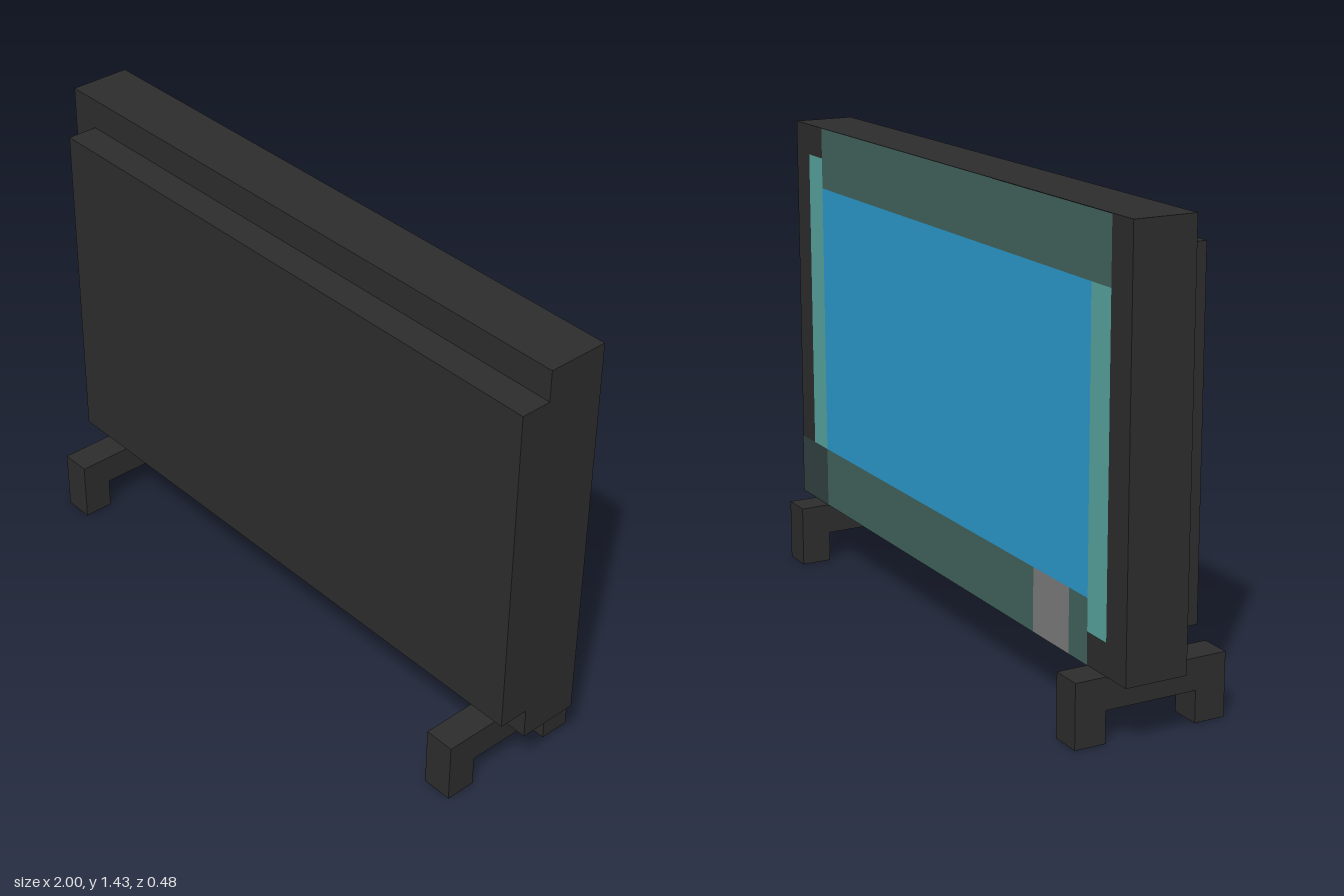
import * as THREE from 'three';

const U = 2 / 21; // one grid unit

const mat = (name, color) => {
  const m = new THREE.MeshStandardMaterial({ color });
  m.name = name;
  return m;
};

export function createModel() {
  const casing = mat('casing', 0x2d2d2d);
  const screenBlue = mat('screenBlue', 0x2c9bcf);
  const darkTeal = mat('darkTeal', 0x43665f);
  const lightTeal = mat('lightTeal', 0x5aa7a1);
  const shadowTeal = mat('shadowTeal', 0x334343);
  const buttonGrey = mat('buttonGrey', 0x7e7e7e);

  const group = new THREE.Group();
  group.name = 'television';

  // Box from its extents in grid units
  const box = (name, x0, x1, y0, y1, z0, z1, parent = group) => {
    const g = new THREE.BoxGeometry((x1 - x0) * U, (y1 - y0) * U, (z1 - z0) * U);
    const m = new THREE.Mesh(g, casing);
    m.position.set((x0 + x1) / 2 * U, (y0 + y1) / 2 * U, (z0 + z1) / 2 * U);
    m.name = name;
    parent.add(m);
  };

  // Main body and the offset raised housing
  box('body', -10.5, 10.5, 2, 15, -1.5, 0.5);
  box('housing', -9.5, 10.5, 3, 14, 0.5, 1.5);

  // Stands: a crossbar on two feet, mirrored
  for (const s of [-1, 1]) {
    const stand = new THREE.Group();
    stand.name = s > 0 ? 'leftStand' : 'rightStand';
    const x = s * 9;
    box('crossbar', x - 0.5, x + 0.5, 1, 2, -2.5, 2.5, stand);
    box('frontFoot', x - 0.5, x + 0.5, 0, 1, 1.5, 2.5, stand);
    box('backFoot', x - 0.5, x + 0.5, 0, 1, -2.5, -1.5, stand);
    group.add(stand);
  }

  // Painted screen panels: u from the +x edge, v down from the top edge
  const panel = (name, material, u0, u1, v0, v1) => {
    const m = new THREE.Mesh(new THREE.PlaneGeometry((u1 - u0) * U, (v1 - v0) * U), material);
    m.rotation.y = Math.PI;
    m.position.set((10.5 - (u0 + u1) / 2) * U, (15 - (v0 + v1) / 2) * U, -1.5 * U - 0.002);
    m.name = name;
    group.add(m);
  };
  panel('screen', screenBlue, 2, 19, 2, 11);
  panel('topBand', darkTeal, 2, 20, 0, 2);
  panel('bottomBandLong', darkTeal, 2, 16, 11, 13);
  panel('button', buttonGrey, 16, 18, 11, 13);
  panel('bottomBandShort', darkTeal, 18, 19, 11, 13);
  panel('leftStrip', lightTeal, 1, 2, 1, 11);
  panel('rightStrip', lightTeal, 19, 20, 2, 12);
  panel('cornerPatch', shadowTeal, 0, 2, 11, 13);

  // Painted patch on the underside
  const under = new THREE.Mesh(new THREE.PlaneGeometry(3 * U, 2 * U), shadowTeal);
  under.rotation.x = Math.PI / 2;
  under.position.set(-8 * U, 2 * U - 0.002, -0.5 * U);
  under.name = 'undersidePatch';
  group.add(under);

  return group;
}
